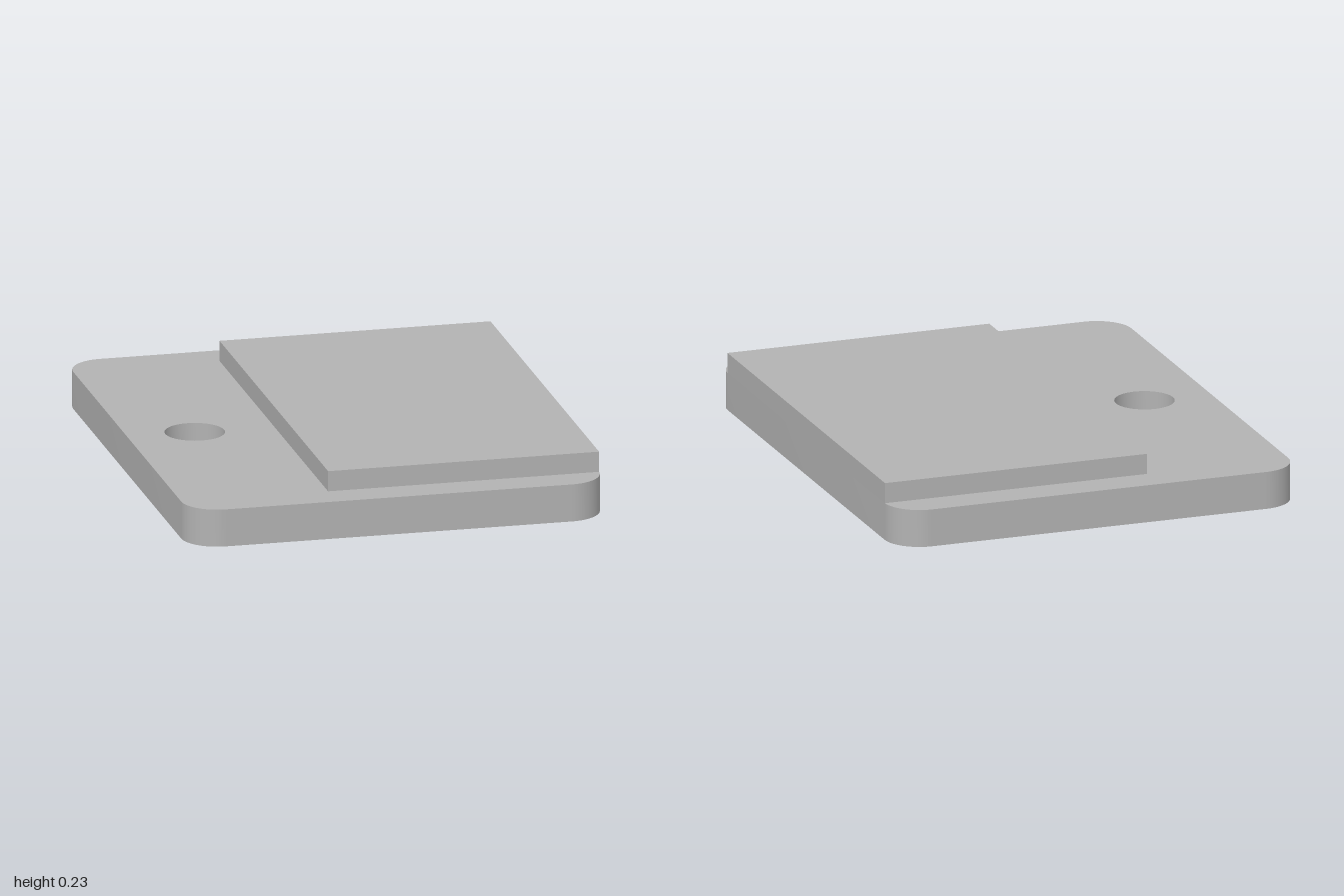
import * as THREE from 'three';
import { toCreasedNormals } from 'three/addons/utils/BufferGeometryUtils.js';

const HALF_X = 0.816, HALF_Z = 1, CORNER = 0.14;
const BASE_H = 0.147, TOP_H = 0.227;
const PAD_LEFT = -0.243, PAD_HALF_Z = 0.866;
const HOLE_X = -0.552, HOLE_R = 0.115;

// Rectangle with rounded corners, centred on the origin
function roundedRect(hx, hy, r) {
  const s = new THREE.Shape();
  s.absarc(hx - r, hy - r, r, 0, Math.PI / 2);
  s.absarc(-hx + r, hy - r, r, Math.PI / 2, Math.PI);
  s.absarc(-hx + r, -hy + r, r, Math.PI, Math.PI * 1.5);
  s.absarc(hx - r, -hy + r, r, Math.PI * 1.5, Math.PI * 2);
  s.closePath();
  return s;
}

export function createModel() {
  const group = new THREE.Group();
  group.name = 'steppedPlate';
  const grey = new THREE.MeshStandardMaterial({ color: 0xb2b2b2 });
  grey.name = 'grey';

  // Base plate with a round through hole
  const outline = roundedRect(HALF_X, HALF_Z, CORNER);
  const hole = new THREE.Path();
  hole.absarc(HOLE_X, 0, HOLE_R, 0, Math.PI * 2, true);
  outline.holes.push(hole);
  const plate = new THREE.ExtrudeGeometry(outline, {
    depth: BASE_H, bevelEnabled: false, curveSegments: 24,
  });
  plate.rotateX(-Math.PI / 2);
  const basePlate = new THREE.Mesh(toCreasedNormals(plate, Math.PI / 6), grey);
  basePlate.name = 'basePlate';
  group.add(basePlate);

  // Raised rectangular pad, flush with the plate's left edge
  const padH = TOP_H - BASE_H;
  const raisedPad = new THREE.Mesh(
    new THREE.BoxGeometry(HALF_X - PAD_LEFT, padH, PAD_HALF_Z * 2), grey);
  raisedPad.name = 'raisedPad';
  raisedPad.position.set((HALF_X + PAD_LEFT) / 2, BASE_H + padH / 2, 0);
  group.add(raisedPad);

  return group;
}
